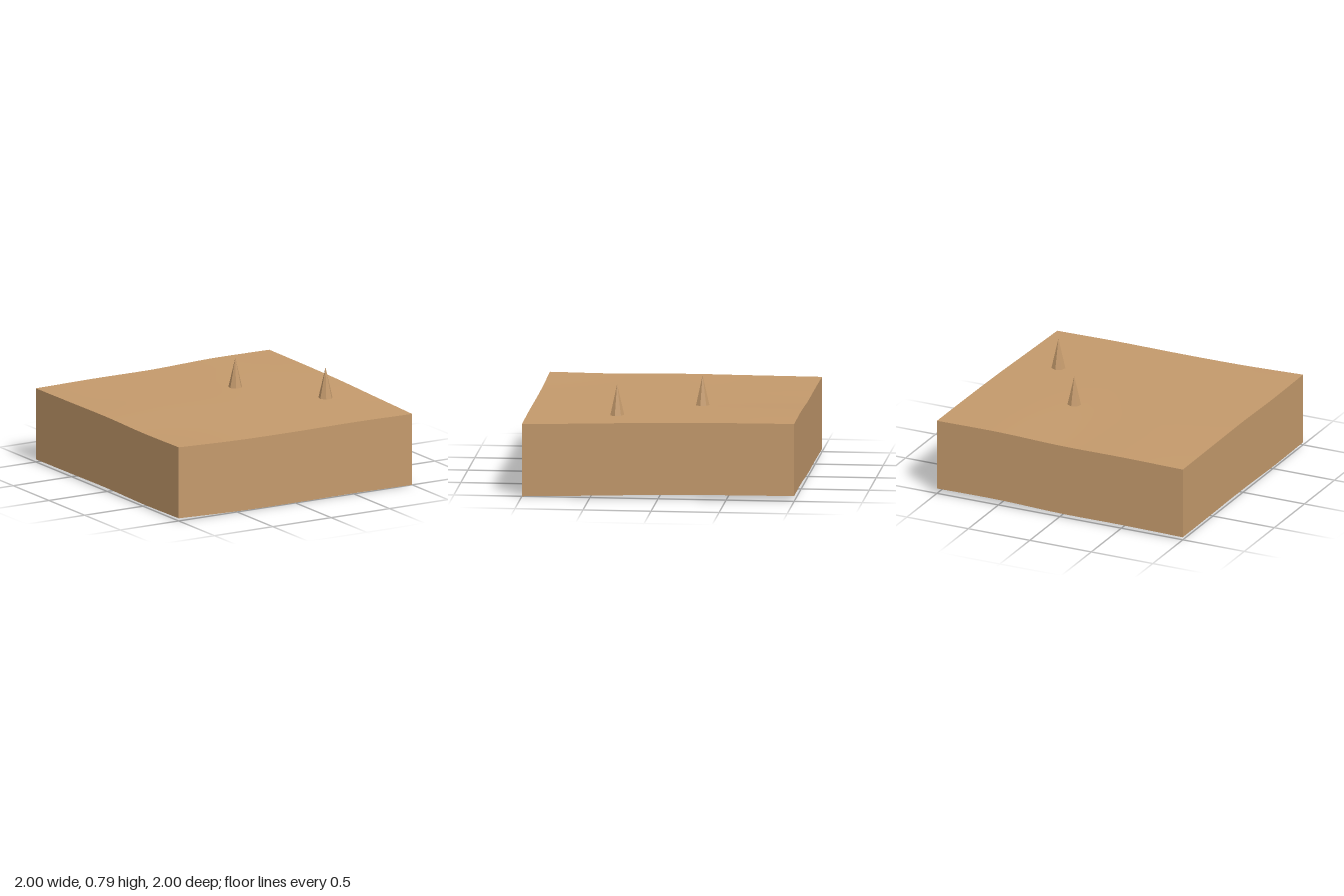
import * as THREE from 'three';

// Ground heights on a 5 x 5 grid: rows run from back (z = -1) to front (z = 1)
const HEIGHTS = [
  [0.556, 0.562, 0.562, 0.577, 0.575],
  [0.558, 0.560, 0.561, 0.572, 0.572],
  [0.560, 0.558, 0.558, 0.564, 0.565],
  [0.552, 0.548, 0.550, 0.552, 0.550],
  [0.556, 0.541, 0.538, 0.541, 0.536],
];
const DEPTH = 0.536;
const SEGMENTS = 24;

// Smooth curve through five evenly spaced values, t from -1 to 1
function smooth(values, t) {
  const f = Math.min(Math.max((t + 1) * 2, 0), 4);
  const i = Math.min(Math.floor(f), 3);
  const u = f - i;
  const b = values[i], c = values[i + 1];
  const a = i > 0 ? values[i - 1] : 2 * b - c;
  const d = i < 3 ? values[i + 2] : 2 * c - b;
  return b + 0.5 * u * (c - a + u * (2 * a - 5 * b + 4 * c - d + u * (3 * (b - c) + d - a)));
}

const groundHeight = (x, z) => smooth(HEIGHTS.map((row) => smooth(row, x)), z);

export function createModel() {
  const model = new THREE.Group();
  const earth = new THREE.MeshStandardMaterial({ color: 0xc49a6c, side: THREE.DoubleSide });
  earth.name = 'earth brown';
  const add = (geometry, name) => {
    const mesh = new THREE.Mesh(geometry, earth);
    mesh.name = name;
    model.add(mesh);
    return mesh;
  };

  // Gently rolling top surface
  const ground = new THREE.PlaneGeometry(2, 2, SEGMENTS, SEGMENTS).rotateX(-Math.PI / 2);
  const p = ground.attributes.position;
  for (let i = 0; i < p.count; i++) p.setY(i, groundHeight(p.getX(i), p.getZ(i)));
  ground.computeVertexNormals();
  add(ground, 'ground');

  // Four skirt walls of constant depth, open underneath
  ['frontWall', 'leftWall', 'backWall', 'rightWall'].forEach((name, k) => {
    const wall = new THREE.PlaneGeometry(2, 1, SEGMENTS, 1).translate(0, 0, 1).rotateY(k * Math.PI / 2);
    const w = wall.attributes.position;
    for (let i = 0; i < w.count; i++) {
      const top = groundHeight(w.getX(i), w.getZ(i));
      w.setY(i, w.getY(i) > 0 ? top : top - DEPTH);
    }
    add(wall, name);
  });

  // Seven-sided faceted spikes standing on the ground
  const spike = new THREE.ConeGeometry(0.053, 0.23, 7, 1, true)
    .rotateY(Math.PI).translate(0, 0.115, 0).toNonIndexed();
  spike.computeVertexNormals();
  [[0.25, -0.25], [0.665, 0.335]].forEach(([x, z], i) => {
    add(spike, 'spike' + (i + 1)).position.set(x, 0.555, z);
  });

  return model;
}
